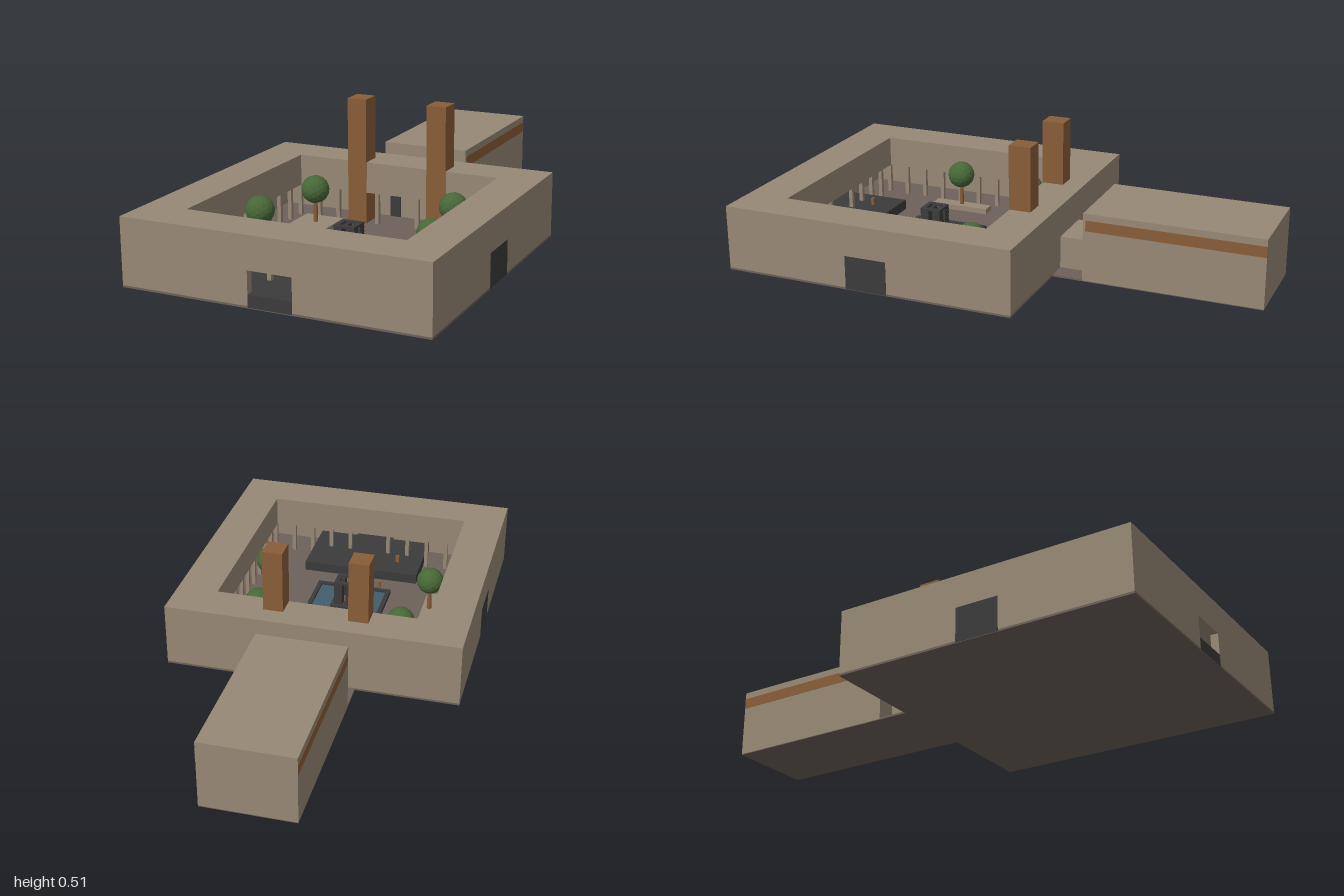
import * as THREE from 'three';

const material = (name, color) => {
  const m = new THREE.MeshStandardMaterial({ color });
  m.name = name;
  return m;
};

export function createModel() {
  const stone = material('sandstone', 0x978875);
  const paving = material('paving', 0x6d615a);
  const dark = material('charcoal', 0x3b3b3b);
  const copper = material('copper', 0x895d38);
  const water = material('water', 0x435c6b);
  const leaf = material('foliage', 0x486738);

  const model = new THREE.Group();
  model.name = 'courtyardBuilding';

  const add = (name, geometry, mat, x = 0, y = 0, z = 0, parent = model) => {
    const mesh = new THREE.Mesh(geometry, mat);
    mesh.name = name;
    mesh.position.set(x, y, z);
    parent.add(mesh);
    return mesh;
  };
  // Box given by its limits on each axis
  const box = (name, mat, x0, x1, y0, y1, z0, z1, parent = model) =>
    add(name, new THREE.BoxGeometry(x1 - x0, y1 - y0, z1 - z0), mat,
      (x0 + x1) / 2, (y0 + y1) / 2, (z0 + z1) / 2, parent);
  const rectangle = (Type, x0, x1, z0, z1) => new Type([
    new THREE.Vector2(x0, -z1), new THREE.Vector2(x1, -z1),
    new THREE.Vector2(x1, -z0), new THREE.Vector2(x0, -z0)]);
  // Rectangular ring lying flat; the hole runs the opposite way to the outline
  const ring = (name, mat, outer, [x0, x1, z0, z1], y0, y1) => {
    const shape = rectangle(THREE.Shape, ...outer);
    shape.holes.push(rectangle(THREE.Path, x0, x1, z1, z0));
    const g = new THREE.ExtrudeGeometry(shape, { depth: y1 - y0, bevelEnabled: false });
    return add(name, g.rotateX(-Math.PI / 2), mat, 0, y0, 0);
  };

  const floor = 0.008, arcade = 0.135, roof = 0.26;

  // Ground slabs
  box('mainFloor', paving, -0.59, 0.59, 0, floor, -0.18, 1);
  box('linkFloor', paving, -0.18, 0.18, 0, floor, -0.3, -0.18);

  // Upper storey ring and the outer walls below it
  ring('upperStorey', stone, [-0.59, 0.59, -0.18, 1], [-0.425, 0.425, -0.015, 0.83], arcade, roof);
  for (const s of [-1, 1]) {
    const side = s < 0 ? [-0.59, -0.56] : [0.56, 0.59];
    box('sideWall', stone, ...side, floor, arcade, -0.18, 1);
    const front = s < 0 ? [-0.56, -0.085] : [0.085, 0.56];
    box('frontWall', stone, ...front, floor, arcade, 0.97, 1);
    box('sideDoor', dark, s * 0.59 - 0.001, s * 0.59 + 0.001, 0.002, arcade, 0.32, 0.49);
  }
  box('backWall', stone, -0.56, 0.56, floor, arcade, -0.18, -0.15);
  box('backDoor', dark, -0.085, -0.04, floor, 0.115, -0.15, -0.145);

  // Arcade posts around the courtyard
  const posts = new THREE.Group();
  posts.name = 'arcadePosts';
  model.add(posts);
  const post = (x, z) => box('post', stone, x - 0.008, x + 0.008, floor, arcade, z - 0.008, z + 0.008, posts);
  for (let i = 0; i <= 10; i++) {
    const x = -0.435 + i * 0.087;
    if (i !== 5) {
      post(x, -0.026);
      post(x, 0.841);
    }
    if (i > 0 && i < 10) {
      const z = -0.026 + i * 0.0867;
      post(-0.436, z);
      post(0.436, z);
    }
  }

  // Twin towers
  for (const s of [-1, 1])
    box('tower', copper, s * 0.17 - 0.04, s * 0.17 + 0.04, floor, 0.515, -0.1, -0.012);

  // Rear wing with its link and side bands
  box('link', stone, -0.1, 0.1, floor, arcade, -0.3, -0.18);
  box('rearWing', stone, -0.18, 0.18, 0.003, 0.275, -1, -0.3);
  box('rearWingBase', paving, -0.18, 0.18, 0, 0.003, -1, -0.3);
  for (const s of [-1, 1])
    box('sideBand', copper, s * 0.18 - 0.001, s * 0.18 + 0.001, 0.205, 0.248, -1, -0.31);

  // Entrance stage running back under the front storey
  box('stage', dark, -0.25, 0.25, 0.003, 0.05, 0.67, 0.9995);
  box('stageFront', dark, -0.085, 0.085, 0.003, 0.05, 0.99, 1.0005);

  // Pool
  ring('poolRim', dark, [-0.16, 0.16, 0.25, 0.565], [-0.142, 0.142, 0.268, 0.547], floor, 0.025);
  box('poolWater', water, -0.142, 0.142, floor, 0.016, 0.268, 0.547);

  // Split fountain block in the pool
  const fz = 0.407;
  box('fountainBase', dark, -0.057, 0.057, floor, 0.04, fz - 0.057, fz + 0.057);
  for (const sx of [-1, 1])
    for (const sz of [-1, 1]) {
      const x = sx * 0.025, z = fz + sz * 0.025;
      box('fountainPier', dark, x - 0.017, x + 0.017, 0.04, arcade, z - 0.017, z + 0.017);
      for (let i = 0; i < 6; i++)
        box('fountainSlat', dark, x + sx * 0.001 - 0.017, x + sx * 0.001 + 0.017,
          0.045 + i * 0.015, 0.053 + i * 0.015, z + sz * 0.001 - 0.017, z + sz * 0.001 + 0.017);
    }
  ring('fountainCap', dark, [-0.043, 0.043, fz - 0.043, fz + 0.043],
    [-0.024, 0.024, fz - 0.024, fz + 0.024], arcade, 0.143);
  box('fountainSpout', copper, -0.008, 0.008, 0.04, 0.06, fz - 0.008, fz + 0.008);

  // Planters and faceted trees
  const crown = new THREE.IcosahedronGeometry(0.056, 2);
  crown.computeVertexNormals();
  const trunk = new THREE.CylinderGeometry(0.008, 0.01, 0.12, 8);
  for (const s of [-1, 1])
    for (const [x, z, px, pz, hw, hd] of [
      [0.295, 0.11, 0.295, 0.11, 0.082, 0.082],
      [0.35, 0.45, 0.348, 0.448, 0.027, 0.124]]) {
      box('planter', stone, s * px - hw, s * px + hw, floor, 0.03, pz - hd, pz + hd);
      add('trunk', trunk, copper, s * x, 0.08, z);
      add('crown', crown, leaf, s * x, 0.163, z);
    }

  // Small bollards on the paving and stage
  for (const [x, y, z] of [[0.2, floor, 0.18], [-0.1, floor, 0.6], [-0.145, 0.05, 0.77]])
    box('bollard', copper, x - 0.008, x + 0.008, y, y + 0.03, z - 0.006, z + 0.006);

  return model;
}
